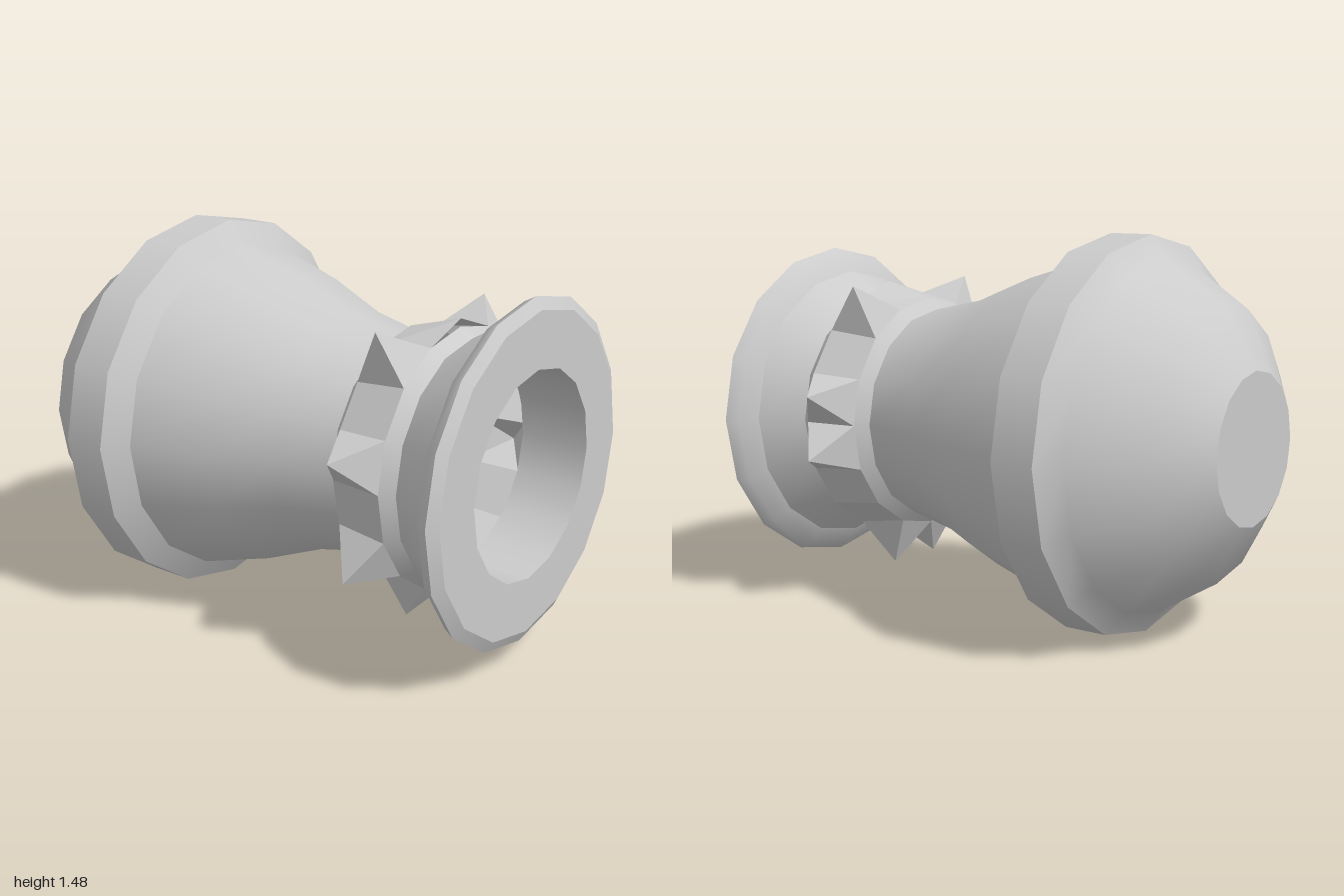
import * as THREE from 'three';

const SIDES = 16;
const mat = new THREE.MeshStandardMaterial({ color: 0xcccccc, side: THREE.DoubleSide });
const flatMat = mat.clone();
flatMat.flatShading = true;

// Turned section along x; profile is a list of [x, radius]
function turned(name, profile) {
  const g = new THREE.LatheGeometry(profile.map(([x, r]) => new THREE.Vector2(r, x)), SIDES);
  g.rotateZ(-Math.PI / 2);
  const m = new THREE.Mesh(g, mat);
  m.name = name;
  return m;
}

// Ring of flat panels, some raised into four-sided spikes
function spikedCollar() {
  const x0 = 0.47, x1 = 0.68, step = (Math.PI * 2) / SIDES;
  const top = SIDES / 4;
  const spikes = [0, 2, 5, 7, 8, 11, 12, 14]; // panels with a spike, mirrored front to back
  const at = (x, r, a) => [x, r * Math.sin(a), r * Math.cos(a)];
  const rim = (x, i) => {
    const k = i % SIDES;
    const r = (x === x0 ? 0.46 : 0.49) + (k === top && x === x1 ? 0.03 : 0);
    return at(x, r, k * step);
  };
  const pos = [];
  const tri = (...p) => p.forEach((v) => pos.push(...v));
  for (let i = 0; i < SIDES; i++) {
    const c = [rim(x0, i), rim(x0, i + 1), rim(x1, i + 1), rim(x1, i)];
    if (spikes.includes(i)) {
      const apex = at(0.56, 0.63, (i + 0.5) * step);
      for (let k = 0; k < 4; k++) tri(c[(k + 1) % 4], c[k], apex);
    } else {
      tri(c[0], c[2], c[1]);
      tri(c[0], c[3], c[2]);
    }
  }
  const g = new THREE.BufferGeometry();
  g.setAttribute('position', new THREE.Float32BufferAttribute(pos, 3));
  g.computeVertexNormals();
  const m = new THREE.Mesh(g, flatMat);
  m.name = 'spikedCollar';
  return m;
}

export function createModel() {
  const group = new THREE.Group();
  group.name = 'barrel';
  group.position.y = 0.74;
  group.add(
    // Rounded rear end
    turned('rearCap', [[-1, 0], [-1, 0.28]]),
    turned('rearDome', [[-1, 0.28], [-0.86, 0.51], [-0.63, 0.65], [-0.565, 0.74]]),
    // Raised band
    turned('band', [[-0.565, 0.74], [-0.395, 0.74]]),
    turned('bandBevel', [[-0.395, 0.74], [-0.33, 0.65]]),
    // Tapering body and neck
    turned('body', [[-0.33, 0.65], [-0.03, 0.56], [0.2, 0.465], [0.43, 0.415]]),
    turned('neckStep', [[0.43, 0.415], [0.47, 0.46]]),
    spikedCollar(),
    // Flared muzzle
    turned('muzzleStep', [[0.68, 0.49], [0.73, 0.455]]),
    turned('muzzleFlare', [[0.73, 0.455], [0.89, 0.55]]),
    turned('rimBevel', [[0.89, 0.55], [0.93, 0.62], [0.975, 0.645]]),
    turned('rimEdge', [[0.975, 0.645], [1, 0.6]]),
    turned('rimFace', [[1, 0.6], [1, 0.39]]),
    // Bore, open to the hollow body
    turned('bore', [[1, 0.39], [0.73, 0.39]]),
    turned('boreLip', [[0.73, 0.39], [0.68, 0.49]])
  );
  const model = new THREE.Group();
  model.name = 'model';
  model.add(group);
  return model;
}
